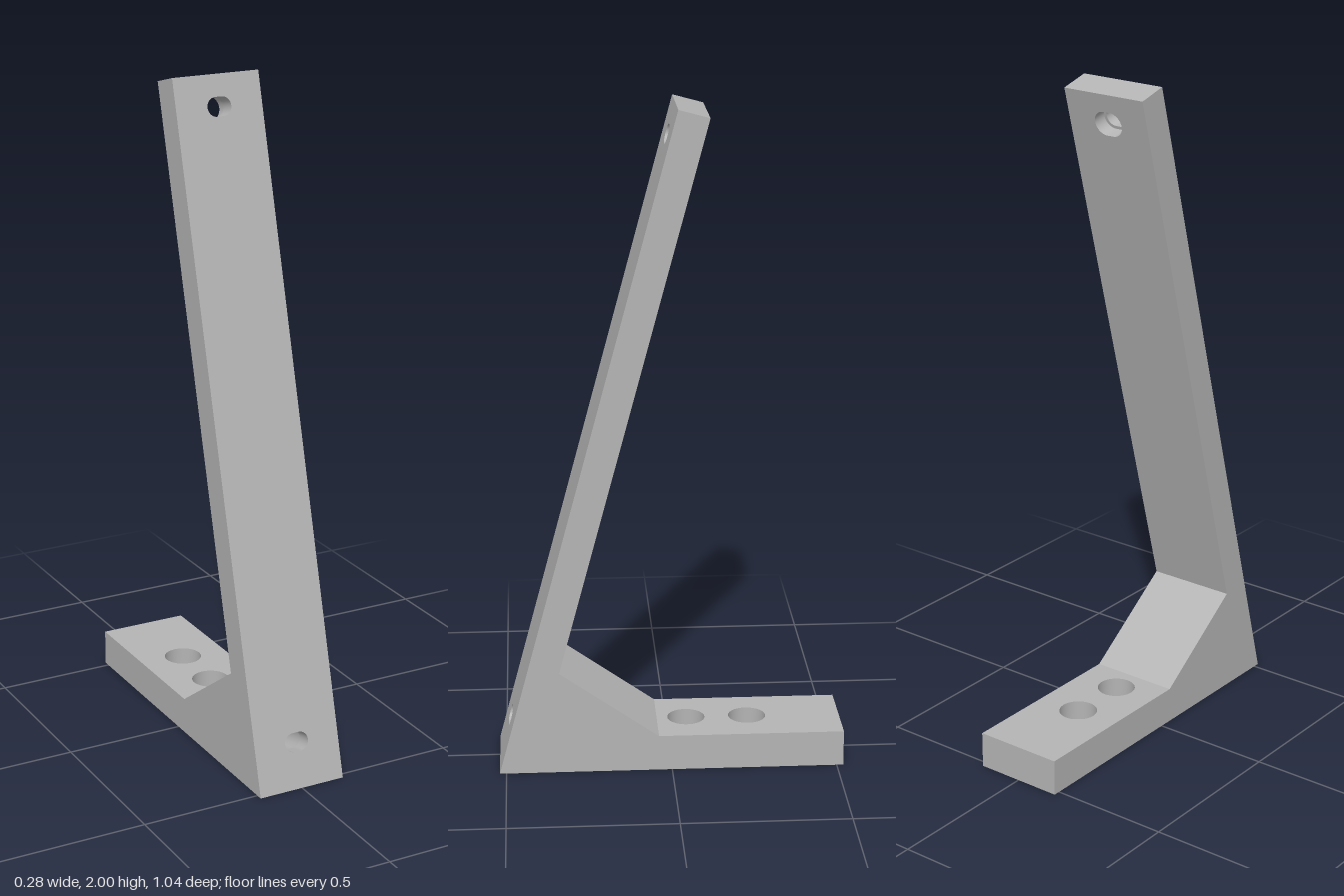
import * as THREE from 'three';

const ANGLE = THREE.MathUtils.degToRad(15);     // backward lean of the upright
const S = Math.sin(ANGLE), C = Math.cos(ANGLE);
const HALF = 0.1375;                            // half width of the bracket
const FRONT = 0.52, THICK = 0.093, FOOT = 0.11;
const LENGTH = 2 / C;                           // length of the leaning front face
const LOW = 0.137, HIGH = 1.978;                // slot positions along that face
const STEP = 0.05;                              // depth where the slots widen
const SMALL = 0.028, BIG = 0.037, SHIFT = 0.01; // slot radii and half offset
const HOLES = [-0.237, -0.05];                  // z of the foot holes
const HEAD = 0.057, SHAFT = 0.03, FLOOR = 0.05; // foot hole radii, counterbore floor

// Point at u along the leaning face and t behind it
const lean = (x, u, t) => new THREE.Vector3(x, u * C - t * S, FRONT - u * S - t * C);
const depthAt = (u, z) => (FRONT - u * S - z) / C;
const exitDepth = (u) => u * C / S;

// Counter-clockwise outlines
function slot(r) {
  const pts = [];
  for (const side of [1, -1]) {
    for (let i = 0; i <= 20; i++) {
      const a = Math.PI * (i / 20 - (side > 0 ? 0.5 : -0.5));
      pts.push(new THREE.Vector2(side * SHIFT + r * Math.cos(a), r * Math.sin(a)));
    }
  }
  return pts;
}
function circle(r) {
  return Array.from({ length: 40 }, (_, i) => {
    const a = i / 40 * Math.PI * 2;
    return new THREE.Vector2(r * Math.cos(a), r * Math.sin(a));
  });
}
const moved = (pts, b) => pts.map((p) => new THREE.Vector2(p.x, p.y + b));

export function createModel() {
  const model = new THREE.Group();
  const grey = new THREE.MeshStandardMaterial({ color: 0xb4b4b4, side: THREE.DoubleSide });
  grey.name = 'plain grey';

  function add(name, geometry, parent = model) {
    const mesh = new THREE.Mesh(geometry, grey);
    mesh.name = name;
    parent.add(mesh);
    return mesh;
  }

  // Closed band between two rings of equal count
  function band(name, a, b, parent) {
    const n = a.length, index = [];
    for (let i = 0; i < n; i++) {
      const j = (i + 1) % n;
      index.push(i, j, n + j, i, n + j, n + i);
    }
    const g = new THREE.BufferGeometry().setFromPoints([...a, ...b]);
    g.setIndex(index);
    g.computeVertexNormals();
    add(name, g, parent);
  }
  function bore(name, rings) {
    const group = new THREE.Group();
    group.name = name;
    model.add(group);
    for (let i = 0; i + 1 < rings.length; i++) band(name + 'Wall', rings[i], rings[i + 1], group);
    return group;
  }

  // Side profile as (z, y), walked up the front and round the back
  const corner = (u, t) => {
    const p = lean(0, u, t);
    return new THREE.Vector2(p.z, p.y);
  };
  const bendU = (0.32 + THICK * S) / C;
  const profile = [
    corner(0, 0), corner(LENGTH, 0), corner(LENGTH, THICK), corner(bendU, THICK),
    new THREE.Vector2(0.04, FOOT), new THREE.Vector2(-FRONT, FOOT), new THREE.Vector2(-FRONT, 0),
  ];

  // Outline where the low bore breaks out underneath
  const breakout = slot(BIG).map((p) =>
    new THREE.Vector2(p.x, 2 * FRONT - (LOW + p.y) / S));

  // Flat faces, with holes placed by distance along each profile edge
  const faces = [
    ['uprightFront', [moved(slot(SMALL), LOW), moved(slot(SMALL), HIGH)]],
    ['uprightTop', []],
    ['uprightBack', [moved(slot(BIG), LENGTH - HIGH)]],
    ['gussetSlope', []],
    ['footTop', HOLES.map((z) => moved(circle(HEAD), 0.04 - z))],
    ['footEnd', []],
    ['underside', [breakout, moved(circle(SHAFT), FRONT + HOLES[0])]],
  ];
  faces.forEach(([name, holes], i) => {
    const p = profile[i], q = profile[(i + 1) % profile.length];
    const len = p.distanceTo(q);
    const shape = new THREE.Shape([
      new THREE.Vector2(-HALF, 0), new THREE.Vector2(HALF, 0),
      new THREE.Vector2(HALF, len), new THREE.Vector2(-HALF, len),
    ]);
    holes.forEach((h) => shape.holes.push(new THREE.Path(h)));
    const x = new THREE.Vector3(1, 0, 0);
    const along = new THREE.Vector3(0, (q.y - p.y) / len, (q.x - p.x) / len);
    const frame = new THREE.Matrix4().makeBasis(x, along, x.clone().cross(along));
    frame.setPosition(0, p.y, p.x);
    add(name, new THREE.ShapeGeometry(shape).applyMatrix4(frame));
  });

  // Side faces
  for (const side of [1, -1]) {
    const shape = new THREE.Shape(profile.map((p) => new THREE.Vector2(-side * p.x, p.y)));
    const g = new THREE.ShapeGeometry(shape).rotateY(side * Math.PI / 2);
    add(side > 0 ? 'leftSide' : 'rightSide', g.translate(side * HALF, 0, 0));
  }

  // Stepped slots through the upright
  const ring = (r, u, depth) => slot(r).map((p) => lean(p.x, u + p.y, depth));
  bore('upperSlot', [
    ring(SMALL, HIGH, 0), ring(SMALL, HIGH, STEP), ring(BIG, HIGH, STEP), ring(BIG, HIGH, THICK),
  ]);

  // Low slot runs out underneath; its ceiling is opened for the foot hole
  const gapRing = (sign) => slot(BIG).map((p) => {
    const u = LOW + p.y;
    const gap = p.y > 0 ? Math.sqrt(Math.max(0, SHAFT ** 2 - p.x ** 2)) : 0;
    return lean(p.x, u, Math.min(depthAt(u, HOLES[1] + sign * gap), exitDepth(u)));
  });
  const lower = bore('lowerSlot', [
    ring(SMALL, LOW, 0), ring(SMALL, LOW, STEP), ring(BIG, LOW, STEP), gapRing(1),
  ]);
  const exitRing = slot(BIG).map((p) => lean(p.x, LOW + p.y, exitDepth(LOW + p.y)));
  band('lowerSlotOutlet', gapRing(-1), exitRing, lower);

  // Counterbored foot holes; the inner one ends at the low slot's ceiling
  const ceiling = (x, z) => {
    const u = LOW + Math.sqrt(BIG ** 2 - Math.max(0, Math.abs(x) - SHIFT) ** 2);
    return lean(x, u, depthAt(u, z)).y;
  };
  HOLES.forEach((z, i) => {
    const level = (r, y) => circle(r).map((p) => new THREE.Vector3(p.x, y, z - p.y));
    const end = level(SHAFT, 0);
    if (i === 1) end.forEach((p) => { p.y = ceiling(p.x, p.z); });
    bore(i ? 'innerFootHole' : 'outerFootHole',
      [level(HEAD, FOOT), level(HEAD, FLOOR), level(SHAFT, FLOOR), end]);
  });

  return model;
}
